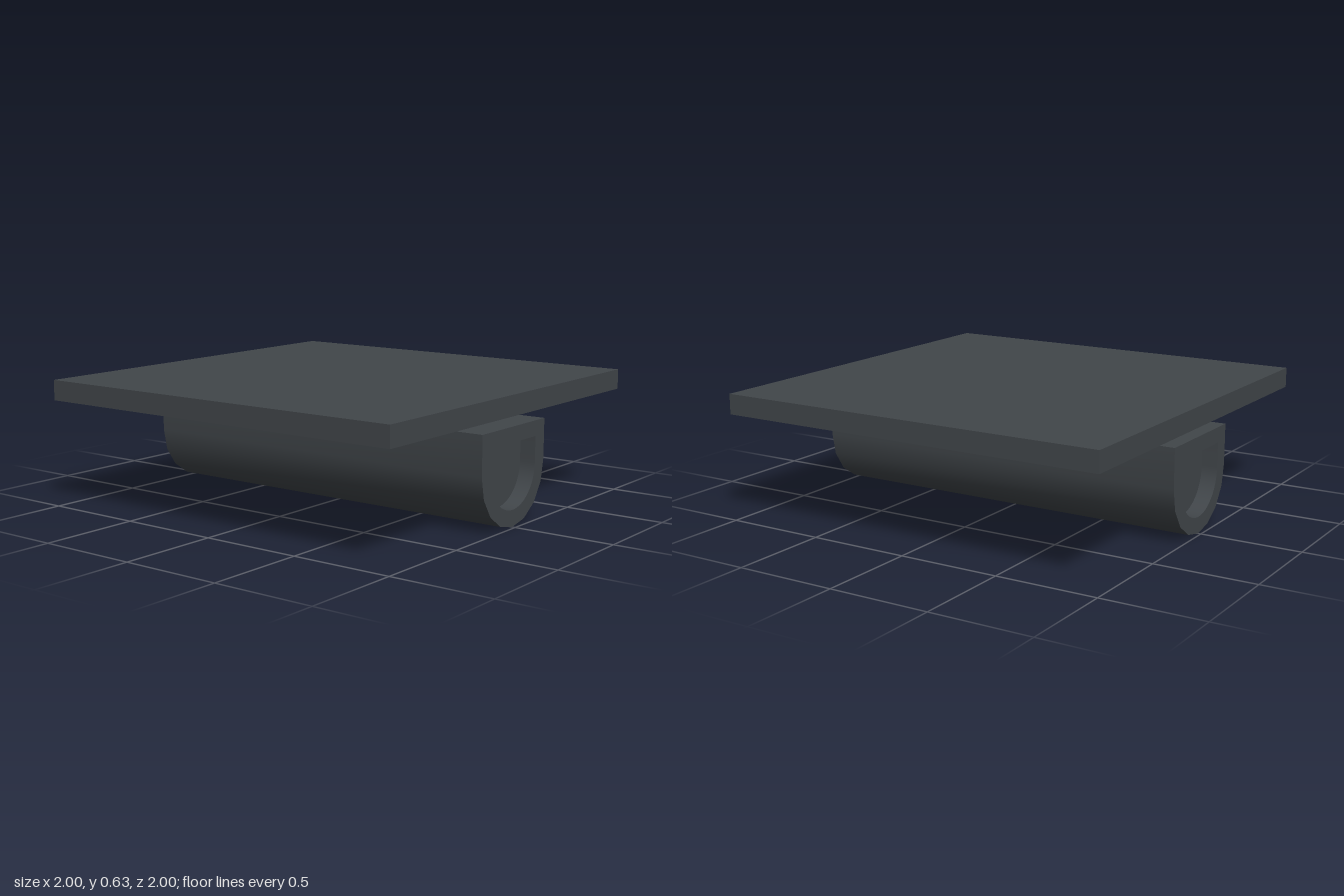
import * as THREE from 'three';
import { toCreasedNormals } from 'three/addons/utils/BufferGeometryUtils.js';

const HALF_LENGTH = 0.985;
const RECESS = 0.08;

// U-shaped outline: flat top, straight sides, rounded bottom
function uOutline(halfWidth, top, centre, bottom, segments) {
  const points = [new THREE.Vector2(halfWidth, top), new THREE.Vector2(-halfWidth, top)];
  for (let i = 0; i <= segments; i++) {
    const a = Math.PI + (Math.PI * i) / segments;
    points.push(new THREE.Vector2(
      halfWidth * Math.cos(a),
      centre + (centre - bottom) * Math.sin(a)
    ));
  }
  return points;
}

export function createModel() {
  const group = new THREE.Group();
  const darkGrey = new THREE.MeshStandardMaterial({ color: 0x41464a });
  darkGrey.name = 'dark grey';

  function add(name, geometry, x = 0, y = 0, z = 0) {
    const mesh = new THREE.Mesh(geometry, darkGrey);
    mesh.name = name;
    mesh.position.set(x, y, z);
    group.add(mesh);
    return mesh;
  }

  // Square top plate and the neck that carries it
  add('topPlate', new THREE.BoxGeometry(2, 0.1, 2), 0, 0.577, 0);
  add('neck', new THREE.BoxGeometry(1.485, 0.06, 0.38), 0, 0.5, 0);

  // U-section beam running along x, hollow at both ends
  const inner = uOutline(0.195, 0.4, 0.275, 0.082, 24);
  const section = new THREE.Shape(uOutline(0.275, 0.475, 0.28, 0, 8));
  section.holes.push(new THREE.Path(inner));
  const beam = new THREE.ExtrudeGeometry(section, {
    depth: HALF_LENGTH * 2,
    bevelEnabled: false,
  });
  beam.translate(0, 0, -HALF_LENGTH);
  beam.rotateY(Math.PI / 2);
  add('beam', toCreasedNormals(beam, Math.PI / 6));

  // Floors of the two end recesses, facing outwards
  for (const side of [1, -1]) {
    const floor = add(
      side > 0 ? 'leftRecessFloor' : 'rightRecessFloor',
      new THREE.ShapeGeometry(new THREE.Shape(inner)),
      side * (HALF_LENGTH - RECESS)
    );
    floor.rotation.y = (side * Math.PI) / 2;
  }

  return group;
}
